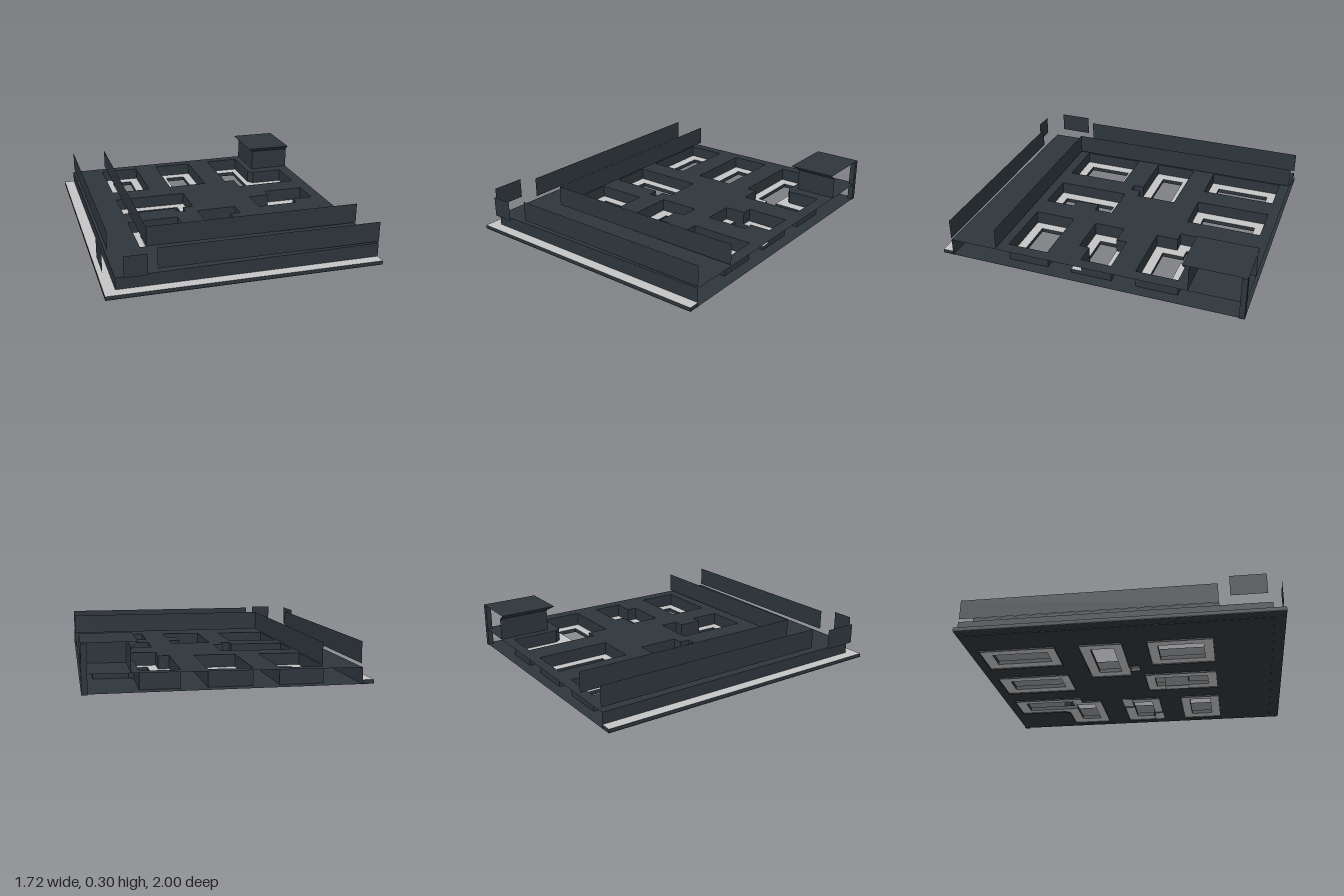
import * as THREE from 'three';

const dark = new THREE.MeshStandardMaterial({ color: 0x2d353b, side: THREE.DoubleSide });
dark.name = 'dark slate';
const light = new THREE.MeshStandardMaterial({ color: 0xc4c4c4, side: THREE.DoubleSide });
light.name = 'pale paving';

// The deck rises slightly towards +x
const deckY = (x) => 0.117 + 0.009 * x;

const rect = (x0, z0, x1, z1) => [[x0, z0], [x1, z0], [x1, z1], [x0, z1]];

// Each block: deck opening, and the openings of the paving inside it
const blocks = [
  { outer: rect(-0.57, -0.93, -0.3, -0.44), inner: [rect(-0.5, -0.86, -0.36, -0.5)] },
  { outer: rect(-0.14, -0.93, 0.13, -0.44), inner: [rect(-0.07, -0.86, 0.07, -0.5)] },
  {
    outer: [[0.29, -0.93], [0.53, -0.93], [0.53, -0.61], [0.56, -0.57], [0.78, -0.57], [0.78, -0.3], [0.36, -0.3], [0.36, -0.44], [0.29, -0.44]],
    inner: [[[0.35, -0.86], [0.49, -0.86], [0.49, -0.5], [0.71, -0.5], [0.71, -0.36], [0.42, -0.36], [0.42, -0.5], [0.35, -0.5]]],
  },
  {
    outer: [[-0.57, -0.285], [-0.08, -0.28], [-0.08, -0.01], [-0.15, -0.01], [-0.15, 0.06], [-0.21, 0.06], [-0.21, -0.01], [-0.57, -0.01]],
    paving: rect(-0.57, -0.285, -0.08, -0.01),
    inner: [rect(-0.5, -0.22, -0.14, -0.07)],
  },
  {
    outer: [[0.36, -0.07], [0.5, -0.07], [0.5, -0.14], [0.78, -0.14], [0.78, 0.06], [0.64, 0.06], [0.64, 0.13], [0.36, 0.13]],
    paving: rect(0.36, -0.14, 0.78, 0.13),
    inner: [rect(0.43, -0.07, 0.71, 0.07)],
  },
  { outer: rect(-0.57, 0.15, -0.23, 0.56), inner: [rect(-0.5, 0.21, -0.29, 0.5)] },
  {
    outer: [[-0.07, 0.08], [0.2, 0.08], [0.2, 0.2], [0.13, 0.2], [0.13, 0.36], [0.2, 0.36], [0.2, 0.56], [-0.07, 0.56]],
    paving: rect(-0.07, 0.08, 0.2, 0.56),
    inner: [rect(0, 0.14, 0.14, 0.5)],
  },
  { outer: rect(0.36, 0.29, 0.78, 0.56), inner: [rect(0.42, 0.35, 0.71, 0.5)] },
];

// Plan outline with openings, given as [x, z] corners
function planShape(outline, holes = []) {
  const toV = (pts) => pts.map(([x, z]) => new THREE.Vector2(x, -z));
  const shape = new THREE.Shape(toV(outline));
  holes.forEach((h) => shape.holes.push(new THREE.Path(toV(h))));
  return shape;
}

function sheet(outline, holes, heightAt) {
  const geo = new THREE.ShapeGeometry(planShape(outline, holes)).rotateX(-Math.PI / 2);
  const p = geo.attributes.position;
  for (let i = 0; i < p.count; i++) p.setY(i, heightAt(p.getX(i)));
  geo.computeVertexNormals();
  return geo;
}

function slab(outline, holes, y0, y1) {
  return new THREE.ExtrudeGeometry(planShape(outline, holes), { depth: y1 - y0, bevelEnabled: false })
    .rotateX(-Math.PI / 2).translate(0, y0, 0);
}

// Upright strip of quads along a path of [x, z] points
function strip(path, bottomAt, topAt, closed = false) {
  const pos = [];
  const n = closed ? path.length : path.length - 1;
  for (let i = 0; i < n; i++) {
    const [ax, az] = path[i];
    const [bx, bz] = path[(i + 1) % path.length];
    const a0 = [ax, bottomAt(ax), az], a1 = [ax, topAt(ax), az];
    const b0 = [bx, bottomAt(bx), bz], b1 = [bx, topAt(bx), bz];
    pos.push(...a0, ...b0, ...b1, ...a0, ...b1, ...a1);
  }
  const geo = new THREE.BufferGeometry();
  geo.setAttribute('position', new THREE.Float32BufferAttribute(pos, 3));
  geo.computeVertexNormals();
  return geo;
}

export function createModel() {
  const model = new THREE.Group();
  model.name = 'raisedDeck';
  const add = (name, geo, mat) => {
    const mesh = new THREE.Mesh(geo, mat);
    mesh.name = name;
    model.add(mesh);
  };
  const at = (y) => () => y;
  const openings = blocks.map((b) => b.outer);
  const pavings = blocks.map((b) => b.paving || b.outer);

  // Lower floor and raised deck
  add('lowerFloor', sheet(rect(-0.86, -1, 0.86, 1), [
    ...pavings, rect(-0.21, 0, -0.15, 0.06)], at(0.01)), dark);
  add('deck', sheet(rect(-0.79, -1, 0.86, 0.93), openings, deckY), dark);

  // Outer walls under the deck, open on the other two sides
  add('outerWall', strip([[-0.79, -1], [-0.79, 0.93], [0.86, 0.93]], at(0.005), deckY), dark);

  // Pale pavement along the two outer edges, with dark kerb sides
  add('edgePavement', slab([[-0.86, -1], [-0.79, -1], [-0.79, 0.93], [0.86, 0.93], [0.86, 1], [-0.86, 1]],
    [], 0.012, 0.035), [light, dark]);

  // Block walls and the paving ring inside each
  blocks.forEach((b, i) => {
    add('blockWall' + i, strip(b.outer, at(0), deckY, true), dark);
    add('blockPaving' + i, slab(pavings[i], b.inner, 0.008, 0.035), [light, dark]);
  });

  // Floating barrier panels
  const barriers = {
    outerFrontBarrier: [[-0.54, 0.93], [0.86, 0.93]],
    outerSideBarrier: [[-0.78, 0.61], [-0.78, -1]],
    innerBarrier: [[-0.54, -1], [-0.54, 0.61], [0.86, 0.61]],
    cornerFrontBarrier: [[-0.75, 0.995], [-0.61, 0.995]],
    cornerSideBarrier: [[-0.855, 0.9], [-0.855, 0.68]],
  };
  for (const [name, path] of Object.entries(barriers)) add(name, strip(path, at(0.135), at(0.267)), dark);

  // Corner shelter: two walls, a corner post and a roof with a sloped eave
  add('shelterWall', strip([[0.58, -1], [0.58, -0.65], [0.86, -0.65]], deckY, at(0.268)), dark);
  add('shelterPost', new THREE.BoxGeometry(0.035, 0.29, 0.035).translate(0.842, 0.15, -0.982), dark);
  add('shelterRoof', sheet(rect(0.54, -1, 0.86, -0.61), [], at(0.3)), dark);
  const eave = strip([[0.54, -1], [0.54, -0.61], [0.86, -0.61]], at(0.267), at(0.3));
  const p = eave.attributes.position;
  for (let i = 0; i < p.count; i++) {
    if (p.getY(i) > 0.28) continue;
    if (p.getX(i) < 0.6) p.setX(i, 0.58);
    if (p.getZ(i) > -0.7) p.setZ(i, -0.65);
  }
  eave.computeVertexNormals();
  add('shelterEave', eave, dark);

  return model;
}
